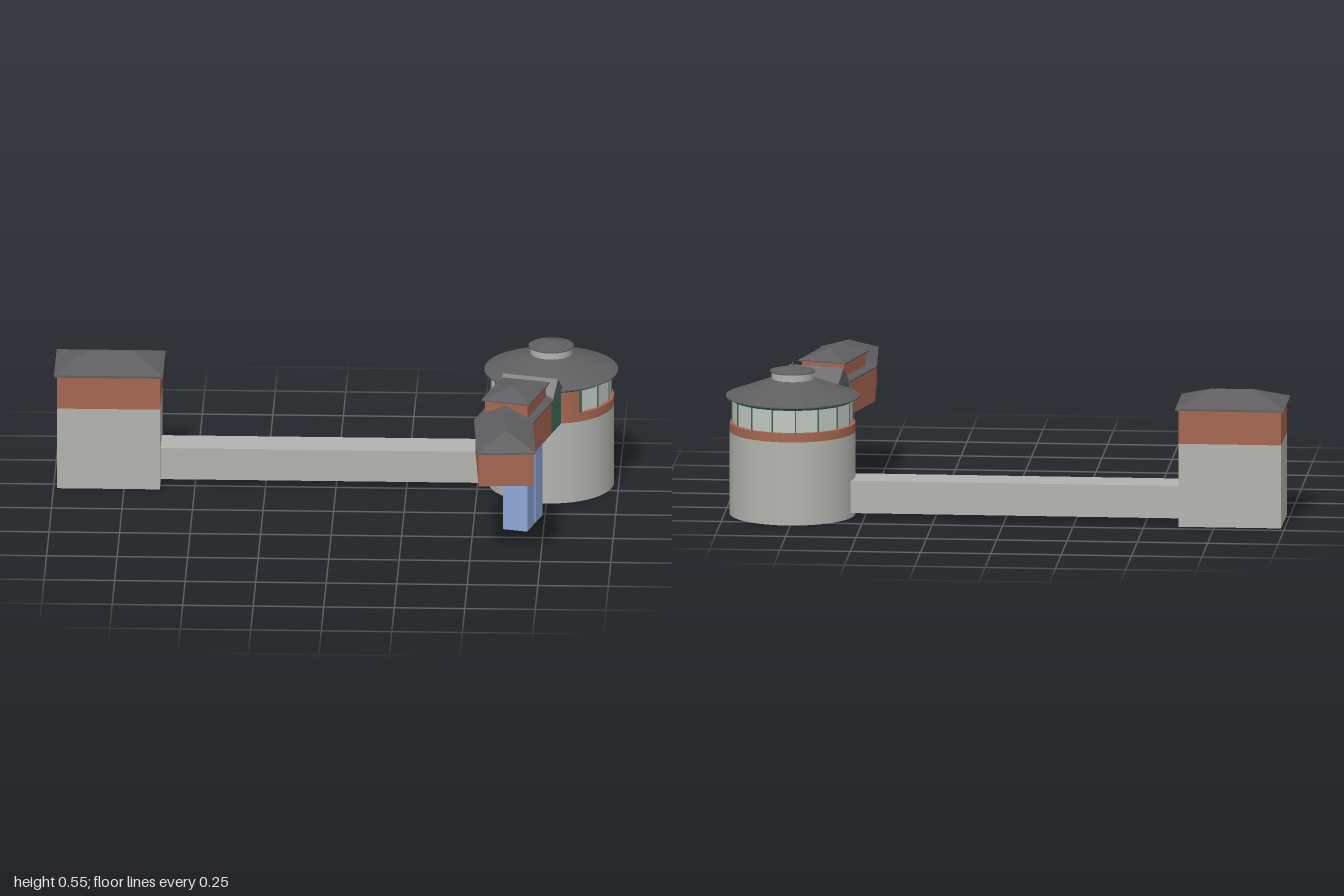
import * as THREE from 'three';

const mat = (name, color) => {
  const m = new THREE.MeshStandardMaterial({ color });
  m.name = name;
  return m;
};

export function createModel() {
  const concrete = mat('concrete', 0xb2b3ae);
  const brick = mat('brick', 0xa5654f);
  const slate = mat('slate', 0x5f5f61);
  const green = mat('green trim', 0x3a6c55);
  const blue = mat('blue cladding', 0x8fa6d6);
  const glass = mat('pale glazing', 0xc0c6c2);

  const root = new THREE.Group();
  root.name = 'building';

  const add = (parent, name, geo, material, x = 0, y = 0, z = 0) => {
    const m = new THREE.Mesh(geo, material);
    m.name = name;
    m.position.set(x, y, z);
    parent.add(m);
    return m;
  };
  const group = (name, x, z, turn = 0) => {
    const g = new THREE.Group();
    g.name = name;
    g.position.set(x, 0, z);
    g.rotation.y = turn;
    root.add(g);
    return g;
  };
  // box given by its bottom and top heights
  const block = (parent, name, material, w, d, y0, y1, x = 0, z = 0) =>
    add(parent, name, new THREE.BoxGeometry(w, y1 - y0, d), material, x, (y0 + y1) / 2, z);
  const drum = (parent, name, material, r0, r1, y0, y1) =>
    add(parent, name, new THREE.CylinderGeometry(r1, r0, y1 - y0, 48), material, 0, (y0 + y1) / 2, 0);

  // flat-shaded solid from convex faces of corner points
  const faceted = (faces) => {
    const pos = [];
    for (const f of faces)
      for (let i = 1; i < f.length - 1; i++) pos.push(...f[0], ...f[i], ...f[i + 1]);
    const g = new THREE.BufferGeometry();
    g.setAttribute('position', new THREE.Float32BufferAttribute(pos, 3));
    g.computeVertexNormals();
    return g;
  };
  // hipped roof, ridge along z, half sizes w, d and half ridge r
  const hip = (w, d, h, r) => {
    const a = [-w, 0, -d], b = [w, 0, -d], c = [w, 0, d], e = [-w, 0, d];
    const p = [0, h, -r], q = [0, h, r];
    return faceted([[c, b, p, q], [a, e, q, p], [e, c, q], [b, a, p], [a, b, c, e]]);
  };

  // square tower
  const square = group('squareTower', -0.805, -0.335);
  block(square, 'squareTowerBase', concrete, 0.365, 0.255, 0, 0.3);
  block(square, 'squareTowerUpperWall', brick, 0.365, 0.255, 0.3, 0.423);
  block(square, 'squareTowerEave', slate, 0.386, 0.276, 0.42, 0.428);
  add(square, 'squareTowerRoof', hip(0.138, 0.193, 0.048, 0.077), slate, 0, 0.428, 0).rotation.y = Math.PI / 2;

  // long link corridor
  block(root, 'linkCorridor', concrete, 1.19, 0.135, 0.018, 0.135, -0.035, -0.333);

  // round tower
  const round = group('roundTower', 0.76, -0.331);
  drum(round, 'roundTowerBase', concrete, 0.223, 0.223, 0, 0.3);
  drum(round, 'roundTowerSill', brick, 0.223, 0.223, 0.3, 0.332);
  const rad = THREE.MathUtils.degToRad;
  add(round, 'roundTowerBrickArc',
    new THREE.CylinderGeometry(0.222, 0.222, 0.083, 16, 1, true, rad(300), rad(90)), brick, 0, 0.3735, 0);
  const panes = new THREE.CylinderGeometry(0.213, 0.213, 0.083, 12, 1, true, rad(30), rad(270)).toNonIndexed();
  panes.computeVertexNormals();
  add(round, 'windowBand', panes, glass, 0, 0.3735, 0);
  for (let i = 0; i <= 12; i++) {
    const t = rad(30 + i * 22.5), end = i % 12 === 0;
    const bar = block(round, 'mullion', green, end ? 0.012 : 0.004, end ? 0.018 : 0.006, 0.332, 0.415,
      0.213 * Math.sin(t), 0.213 * Math.cos(t));
    bar.rotation.y = t;
  }
  drum(round, 'roundTowerSoffit', green, 0.216, 0.23, 0.413, 0.424);
  drum(round, 'roundTowerEave', slate, 0.237, 0.237, 0.424, 0.428);
  drum(round, 'roundTowerRoof', slate, 0.236, 0.076, 0.428, 0.488);
  drum(round, 'lanternWall', concrete, 0.074, 0.074, 0.486, 0.515);
  drum(round, 'lanternEave', slate, 0.08, 0.08, 0.513, 0.517);
  drum(round, 'lanternRoof', slate, 0.079, 0.004, 0.517, 0.535);
  drum(round, 'finial', slate, 0.003, 0.001, 0.533, 0.549);

  // bent wing: two straight runs meeting at a mitre
  const bend = [0.61, 0.225], turn1 = -0.262, turn2 = 0.066;
  // plan point at distance s along a run, offset sideways by o
  const at = (turn, s, o) => [
    bend[0] + s * Math.sin(turn) + o * Math.cos(turn),
    bend[1] + s * Math.cos(turn) - o * Math.sin(turn),
  ];
  const mitre = (o) => at((turn1 + turn2) / 2, 0, o / Math.cos((turn2 - turn1) / 2));
  const row = (o, s1, s2) => [at(turn1, s1, o), mitre(o), at(turn2, s2, o)];
  const prism = (half, s1, s2, y0, y1) => {
    const outline = [...row(-half, s1, s2), ...row(half, s1, s2).reverse()];
    const shape = new THREE.Shape(outline.map(([x, z]) => new THREE.Vector2(x, -z)));
    return new THREE.ExtrudeGeometry(shape, { depth: y1 - y0, bevelEnabled: false })
      .rotateX(-Math.PI / 2).translate(0, y0, 0);
  };
  add(root, 'wingWalls', prism(0.098, -0.259, 0.323, 0.3, 0.423), brick);
  add(root, 'wingEave', prism(0.104, -0.272, 0.333, 0.421, 0.427), slate);

  const lift = (pts, y) => pts.map(([x, z]) => [x, y, z]);
  const L = lift(row(-0.104, -0.272, 0.333), 0.427);
  const R = lift(row(0.104, -0.272, 0.333), 0.427);
  const M = lift(row(0, -0.272, 0.226), 0.474);
  const roofFaces = [[L[2], R[2], M[2]], [R[0], L[0], M[0]]];
  for (let i = 0; i < 2; i++)
    roofFaces.push([R[i + 1], R[i], M[i], M[i + 1]], [L[i], L[i + 1], M[i + 1], M[i]]);
  add(root, 'wingRoof', faceted(roofFaces), slate);

  // parts aligned with the inner run
  const inner = group('wingInnerRun', bend[0], bend[1], turn1);
  block(inner, 'greenConnector', green, 0.196, 0.145, 0.3, 0.425, 0, -0.3315);

  // cross gable over the connector
  const w = 0.102, y0 = 0.425, zf = -0.266, zb = -0.395;
  const a = [-w, y0, zb], b = [w, y0, zb], c = [w, y0, zf], e = [-w, y0, zf];
  const p = [-w, 0.485, -0.327], q = [w, 0.485, -0.327];
  add(inner, 'connectorGable', faceted([[e, c, q, p], [b, a, p, q], [c, b, q], [a, e, p], [a, b, c, e]]), slate);

  // raised clerestory
  block(inner, 'clerestoryWall', brick, 0.158, 0.224, 0.425, 0.488, 0, -0.147);
  block(inner, 'clerestoryEave', slate, 0.178, 0.246, 0.486, 0.491, 0, -0.147);
  add(inner, 'clerestoryRoof', hip(0.089, 0.123, 0.031, 0.042), slate, 0, 0.491, -0.147);

  // pair of blue shafts carrying the wing
  for (const z of [-0.0645, -0.1645])
    block(inner, 'blueShaft', blue, 0.09, 0.085, 0.013, 0.302, 0.037, z);

  return root;
}
